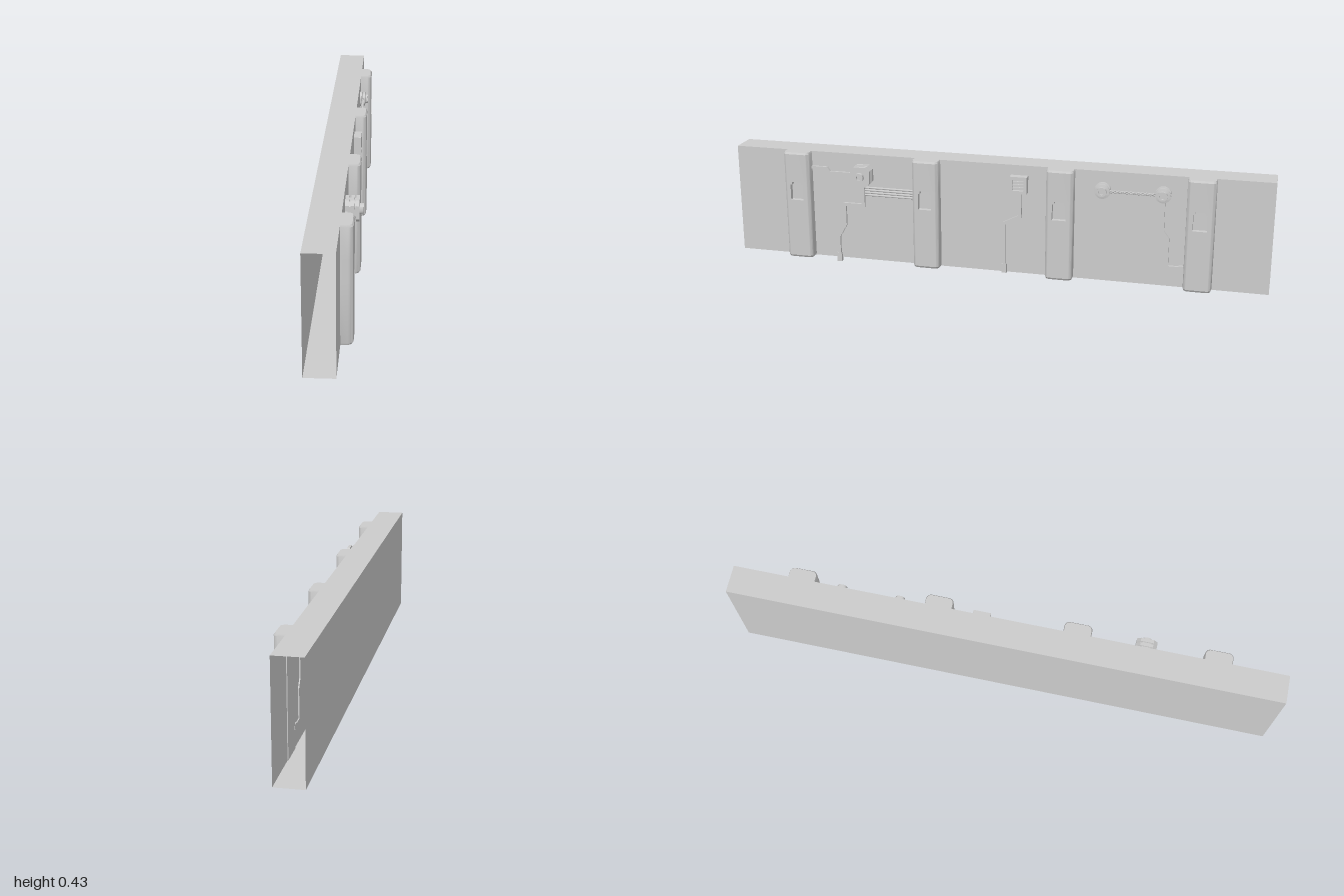
import * as THREE from 'three';
import { mergeGeometries, toCreasedNormals } from 'three/addons/utils/BufferGeometryUtils.js';

const FACE = 0.021; // x of the detailed wall face
const BOTTOM = 0.015, TOP = 0.427;
const material = new THREE.MeshStandardMaterial({ color: 0xcccccc });
const openMaterial = new THREE.MeshStandardMaterial({ color: 0xcccccc, side: THREE.DoubleSide });

function part(name, geometry, mat = material) {
  const mesh = new THREE.Mesh(geometry, mat);
  mesh.name = name;
  return mesh;
}

// Extrude a shape drawn in (-z, y) outwards along x
function slab(shape, x0, x1) {
  const g = new THREE.ExtrudeGeometry(shape, { depth: x1 - x0, bevelEnabled: false, curveSegments: 16 });
  return g.rotateY(Math.PI / 2).translate(x0, 0, 0);
}

// Square outline with cut corners
function cutSquare(half, cut, ShapeType = THREE.Shape) {
  const a = half, b = half - cut;
  return new ShapeType([[a, -b], [a, b], [b, a], [-b, a], [-a, b], [-a, -b], [-b, -a], [b, -a]]
    .map(([x, y]) => new THREE.Vector2(x, y)));
}

// Flat cable with mitred corners along [z, y] points
function cable(points, width = 0.012, x1 = FACE + 0.009) {
  const p = points.map(([z, y]) => new THREE.Vector2(-z, y));
  const normal = (i) => {
    const d = p[i + 1].clone().sub(p[i]).normalize();
    return new THREE.Vector2(-d.y, d.x);
  };
  const left = [], right = [];
  p.forEach((q, i) => {
    const a = normal(Math.max(i - 1, 0));
    const b = normal(Math.min(i, p.length - 2));
    const m = a.clone().add(b).normalize();
    m.multiplyScalar(width / 2 / m.dot(a));
    left.push(q.clone().add(m));
    right.unshift(q.clone().sub(m));
  });
  return slab(new THREE.Shape([...left, ...right]), FACE - 0.004, x1);
}

// Rounded rib profile in (x, z), optionally with a notch in its outer face
function ribProfile(notch) {
  const s = new THREE.Shape(), w = 0.05, x1 = 0.062, r = 0.018;
  s.moveTo(FACE - 0.003, -w);
  s.lineTo(x1 - r, -w);
  s.absarc(x1 - r, -w + r, r, -Math.PI / 2, 0, false);
  if (notch) {
    s.lineTo(x1, -notch);
    s.lineTo(x1 - 0.018, -notch);
    s.lineTo(x1 - 0.018, notch);
    s.lineTo(x1, notch);
  }
  s.absarc(x1 - r, w - r, r, 0, Math.PI / 2, false);
  s.lineTo(FACE - 0.003, w);
  return s;
}

// Rib built from stacked slices: softened ends and a pocket with a narrowed top
function ribGeometry() {
  const soft = 0.007;
  const slices = [
    [BOTTOM, BOTTOM + soft, 0], [BOTTOM + soft, 0.243, 0], [0.243, 0.303, 0.025],
    [0.303, 0.313, 0.018], [0.313, TOP - soft, 0], [TOP - soft, TOP, 0],
  ];
  const parts = slices.map(([y0, y1, notch]) => {
    const g = new THREE.ExtrudeGeometry(ribProfile(notch), { depth: y1 - y0, bevelEnabled: false, curveSegments: 6 });
    g.rotateX(-Math.PI / 2).translate(0, y0, 0);
    const pos = g.attributes.position;
    for (let i = 0; i < pos.count; i++) {
      const y = pos.getY(i);
      if (y < BOTTOM + 1e-4 || y > TOP - 1e-4) {
        pos.setX(i, FACE + (pos.getX(i) - FACE) * 0.9);
        pos.setZ(i, pos.getZ(i) * 0.95);
      }
    }
    return g;
  });
  return toCreasedNormals(mergeGeometries(parts), 0.5);
}

// Turned piece facing +x from [radius, x] points
function turned(points, segments = 24) {
  const g = new THREE.LatheGeometry(points.map(([r, x]) => new THREE.Vector2(r, x)), segments);
  return toCreasedNormals(g.rotateZ(-Math.PI / 2), 0.6);
}

export function createModel() {
  const model = new THREE.Group();
  model.name = 'wallSection';

  // Hollow wall, open at both ends: keep only the four long faces
  const wall = new THREE.BoxGeometry(FACE + 0.081, TOP - BOTTOM, 2);
  wall.setIndex(Array.from(wall.index.array.slice(0, 24)));
  wall.clearGroups();
  wall.translate((FACE - 0.081) / 2, (TOP + BOTTOM) / 2, 0);
  model.add(part('wall', wall, openMaterial));

  // Four upright ribs with pockets
  const rib = ribGeometry();
  for (const z of [0.75, 0.25, -0.25, -0.75]) {
    const mesh = part('rib', rib);
    mesh.position.z = z;
    model.add(mesh);
  }

  // Stacked junction box with a round socket
  const junction = new THREE.Group();
  junction.name = 'junctionBox';
  junction.position.set(0, 0.352, 0.497);
  const plates = [[0.01, 0.034, 0.037], [0.034, 0.04, 0.03], [0.04, 0.051, 0.037], [0.051, 0.056, 0.03], [0.056, 0.068, 0.037]];
  for (const [x0, x1, half] of plates) junction.add(part('junctionPlate', slab(cutSquare(half, 0.014), x0, x1)));
  junction.add(part('socket', turned([[0.017, 0.066], [0.017, 0.081], [0.009, 0.081], [0.009, 0.07], [0, 0.07]])));
  model.add(junction);

  // Junction cables and the bundle of thin pipes beside it
  model.add(part('junctionCable', cable([[0.5, 0.33], [0.5, 0.23], [0.575, 0.23], [0.575, 0.15], [0.603, 0.1], [0.603, 0.005]])));
  model.add(part('cableEnd', cable([[0.603, 0.035], [0.603, 0]], 0.018, 0.031)));
  model.add(part('sideCable', cable([[0.71, 0.366], [0.64, 0.366], [0.63, 0.35], [0.52, 0.35]], 0.01)));
  for (let i = 0; i < 4; i++) {
    const pipe = new THREE.CylinderGeometry(0.004, 0.004, 0.21, 8).rotateX(Math.PI / 2);
    model.add(part('thinPipe', pipe.translate(FACE, 0.271 + i * 0.0095, 0.4)));
  }

  // Vent box: framed square with slats
  const vent = new THREE.Group();
  vent.name = 'ventBox';
  vent.position.set(0, 0.358, -0.097);
  const frame = cutSquare(0.032, 0.001);
  frame.holes.push(cutSquare(0.02, 0.001, THREE.Path));
  vent.add(part('ventFrame', slab(frame, FACE - 0.003, 0.048)));
  vent.add(part('ventBack', slab(cutSquare(0.022, 0.001), FACE - 0.003, 0.036)));
  for (let i = -1; i <= 1; i++) {
    vent.add(part('ventSlat', new THREE.BoxGeometry(0.008, 0.005, 0.04).translate(0.039, i * 0.011, 0)));
  }
  model.add(vent);
  model.add(part('ventCable', cable([[-0.1, 0.335], [-0.1, 0.235], [-0.042, 0.205], [-0.042, 0.02]])));
  model.add(part('cableEnd', cable([[-0.042, 0.047], [-0.042, 0.013]], 0.018, 0.031)));

  // Two stepped dials
  const dial = turned([
    [0.03, FACE - 0.003], [0.03, 0.028], [0.021, 0.03], [0.021, 0.034], [0.027, 0.035], [0.027, 0.041],
    [0.017, 0.043], [0.017, 0.052], [0.01, 0.052], [0.01, 0.045], [0, 0.045],
  ]);
  for (const z of [-0.4, -0.615]) {
    const mesh = part('dial', dial);
    mesh.position.set(0, 0.357, z);
    model.add(mesh);
  }

  // Twisted pair of wires joining the dials
  for (const phase of [0, Math.PI]) {
    const points = [];
    for (let i = 0; i <= 64; i++) {
      const a = (i / 64) * Math.PI * 14 + phase;
      points.push(new THREE.Vector3(0.033 + 0.003 * Math.cos(a), 0.357 + 0.003 * Math.sin(a), -0.41 - 0.195 * (i / 64)));
    }
    model.add(part('twistedWire', new THREE.TubeGeometry(new THREE.CatmullRomCurve3(points), 128, 0.003, 6)));
  }
  model.add(part('dialCable', cable([[-0.617, 0.34], [-0.617, 0.222], [-0.637, 0.195], [-0.637, 0.088], [-0.71, 0.088]])));
  model.add(part('cableEnd', cable([[-0.68, 0.088], [-0.705, 0.088]], 0.018, 0.031)));

  return model;
}
